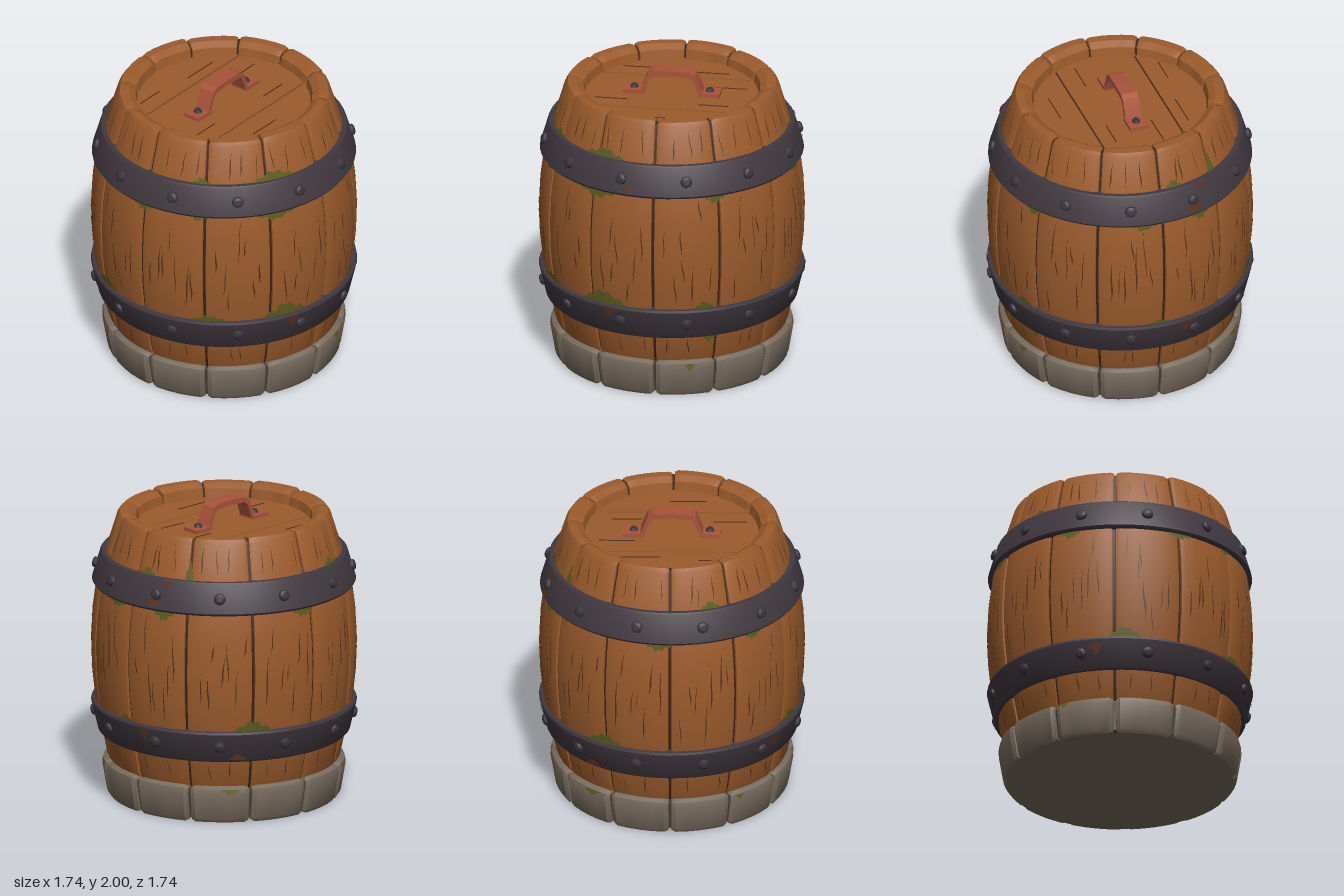
import * as THREE from 'three';
import { toCreasedNormals, mergeGeometries } from 'three/addons/utils/BufferGeometryUtils.js';

const STAVES = 12;
const rad = THREE.MathUtils.degToRad;

// Profiles are [radius, height], running up the outside and over the top
const STAVE = [[0.73, 0.2], [0.765, 0.27], [0.797, 0.43], [0.845, 0.65], [0.866, 0.85], [0.872, 1.05], [0.862, 1.25],
  [0.836, 1.45], [0.775, 1.65], [0.703, 1.89], [0.683, 1.918], [0.625, 1.918], [0.58, 1.89], [0.562, 1.8]];
const STONE = [[0.6, 0], [0.75, 0], [0.768, 0.025], [0.798, 0.2], [0.79, 0.235], [0.765, 0.25], [0.65, 0.25]];
const HOOPS = [
  [[0.77, 0.44], [0.815, 0.432], [0.828, 0.445], [0.872, 0.63], [0.866, 0.645], [0.81, 0.65]],
  [[0.81, 1.44], [0.855, 1.44], [0.866, 1.455], [0.812, 1.64], [0.803, 1.652], [0.74, 1.652]],
];

function seeded(seed) {
  return () => (seed = (seed * 16807) % 2147483647) / 2147483647;
}

function indexed(positions, index) {
  const g = new THREE.BufferGeometry();
  g.setAttribute('position', new THREE.Float32BufferAttribute(positions, 3));
  g.setIndex(index);
  return g;
}

// Move a profile inwards along its own normals
function inset(profile, d) {
  return profile.map(([r, y], i) => {
    const a = profile[Math.max(i - 1, 0)], b = profile[Math.min(i + 1, profile.length - 1)];
    const dr = b[0] - a[0], dy = b[1] - a[1], l = Math.hypot(dr, dy);
    return [r - d * dy / l, y + d * dr / l];
  });
}

function radiusAt(profile, y) {
  for (let i = 0; i < profile.length - 1; i++) {
    const [r0, y0] = profile[i], [r1, y1] = profile[i + 1];
    if (y >= y0 && y <= y1 && y1 > y0) return r0 + (r1 - r0) * (y - y0) / (y1 - y0);
  }
  return profile[2][0];
}

// One stave or stone: the profile swept over its share of the circle, sinking at both edges
function wedge(profile, angle, bevel, lift) {
  const half = Math.PI / STAVES;
  const cols = [[-0.975, 0.04], [-0.95, bevel], [-0.82, 0], [-0.4, 0], [0, 0], [0.4, 0], [0.82, 0], [0.95, bevel], [0.975, 0.04]];
  const pos = [], idx = [], n = profile.length;
  cols.forEach(([u, d], c) => {
    inset(profile, d).forEach(([r, y], i) => {
      const t = angle + u * half, top = y > 1.85 ? lift : 0;
      pos.push(r * Math.sin(t), y + top, r * Math.cos(t));
      if (c && i) {
        const a = (c - 1) * n + i - 1, b = c * n + i - 1;
        idx.push(a, b, b + 1, a, b + 1, a + 1);
      }
    });
  });
  return toCreasedNormals(indexed(pos, idx), 0.5);
}

const lathe = (profile, seg = 48) =>
  toCreasedNormals(new THREE.LatheGeometry(profile.map(p => new THREE.Vector2(...p)), seg), 0.6);

// Thin ribbon laid on a turned surface, from pairs of [angle, height] points
function ribbon(profile, pairs, offset = 0.005) {
  const pos = [], idx = [];
  pairs.forEach((pair, i) => {
    for (const [t, y] of pair) {
      const r = radiusAt(profile, y) + offset;
      pos.push(r * Math.sin(t), y, r * Math.cos(t));
    }
    if (i) idx.push(2 * i - 2, 2 * i, 2 * i + 1, 2 * i - 2, 2 * i + 1, 2 * i - 1);
  });
  const g = indexed(pos, idx);
  g.computeVertexNormals();
  return g;
}

export function createModel() {
  const group = new THREE.Group();
  const mat = (name, color, side = THREE.FrontSide) => {
    const m = new THREE.MeshStandardMaterial({ color, side });
    m.name = name;
    return m;
  };
  const wood = mat('wood', 0x9b5b2c), gap = mat('dark gap', 0x3a2114), iron = mat('iron', 0x40383f);
  const rivetIron = mat('rivet iron', 0x38343b), stone = mat('stone', 0x786b5e), mortar = mat('stone gap', 0x3e362f);
  const copper = mat('handle copper', 0xa8533a), moss = mat('moss', 0x5c5c1f, THREE.DoubleSide);
  const rust = mat('rust', 0x61321f, THREE.DoubleSide), crack = mat('wood crack', 0x54301a, THREE.DoubleSide);
  const add = (name, geo, material, x = 0, y = 0, z = 0) => {
    const m = new THREE.Mesh(geo, material);
    m.name = name;
    m.position.set(x, y, z);
    group.add(m);
    return m;
  };
  const rnd = seeded(77);

  // Staves and base stones around their dark cores
  for (let i = 0; i < STAVES; i++) {
    const a = (i + 0.5) * 2 * Math.PI / STAVES;
    add('stave', wedge(STAVE, a, 0.008, (rnd() - 0.5) * 0.012), wood);
    add('baseStone', wedge(STONE, a, 0.014, 0), stone);
  }
  add('staveCore', lathe(inset(STAVE, 0.022)), gap);
  add('stoneCore', lathe(inset(STONE, 0.025)), mortar);
  add('baseUnderside', new THREE.CircleGeometry(0.745, 48).rotateX(Math.PI / 2), stone, 0, 0.002);

  // Lid boards cut from a circle
  const R = 0.585, lidY = 1.83;
  for (const [z0, z1] of [[-R, -0.286], [-0.274, 0.264], [0.276, R]]) {
    const right = [], left = [];
    for (let i = 0; i <= 14; i++) {
      const z = z0 + (z1 - z0) * i / 14, x = Math.sqrt(Math.max(R * R - z * z, 0));
      right.push(new THREE.Vector2(x, z));
      left.unshift(new THREE.Vector2(-x, z));
    }
    const board = new THREE.ExtrudeGeometry(new THREE.Shape([...right, ...left]), { depth: 0.04, bevelEnabled: false });
    add('lidBoard', board.rotateX(Math.PI / 2), wood, 0, lidY);
  }
  add('lidCore', new THREE.CylinderGeometry(0.59, 0.59, 0.02, 48), gap, 0, lidY - 0.02);
  for (const [x, z, l] of [[-0.28, -0.4, 0.2], [0.2, -0.36, 0.26], [0.36, -0.13, 0.24], [-0.38, 0.14, 0.22], [0.3, 0.17, 0.2], [-0.1, 0.42, 0.24]])
    add('lidCrack', new THREE.BoxGeometry(l, 0.004, 0.006), crack, x, lidY + 0.002, z);

  // Hoops with a ring of rivets
  for (const hoop of HOOPS) {
    add('hoop', lathe(hoop, 60), iron);
    const [[rA, yA], [rB, yB]] = [hoop[2], hoop[3]];
    const tilt = Math.atan2(rB - rA, yB - yA);
    for (let i = 0; i < STAVES; i++) {
      const pivot = new THREE.Group();
      pivot.name = 'rivet';
      pivot.rotation.y = (i + 0.5) * 2 * Math.PI / STAVES;
      const head = mergeGeometries([
        new THREE.CylinderGeometry(0.035, 0.04, 0.02, 10),
        new THREE.CylinderGeometry(0.018, 0.035, 0.009, 10).translate(0, 0.0145, 0)]);
      const m = new THREE.Mesh(head, rivetIron);
      m.rotation.x = Math.PI / 2 + tilt;
      m.position.set(0, (yA + yB) / 2 + 0.005, (rA + rB) / 2 + 0.005);
      pivot.add(m);
      group.add(pivot);
    }
  }

  // Handle: arch, two feet and their bolts
  const arch = new THREE.Shape([[-0.21, 1.84], [-0.178, 1.925], [-0.155, 1.975], [-0.12, 1.995], [0, 2], [0.12, 1.995], [0.155, 1.975],
    [0.178, 1.925], [0.21, 1.84], [0.18, 1.84], [0.15, 1.925], [0.125, 1.957], [0, 1.965], [-0.125, 1.957], [-0.15, 1.925], [-0.18, 1.84]]
    .map(p => new THREE.Vector2(...p)));
  add('handleArch', new THREE.ExtrudeGeometry(arch, { depth: 0.11, bevelEnabled: false }), copper, 0, 0, -0.073);
  for (const s of [-1, 1]) {
    add('handleFoot', new THREE.BoxGeometry(0.14, 0.024, 0.125), copper, s * 0.25, lidY + 0.012, -0.02);
    add('handleBolt', new THREE.CylinderGeometry(0.02, 0.03, 0.022, 8), rivetIron, s * 0.25, lidY + 0.033, -0.02);
  }

  // Grain cracks: tapering, slightly wandering slivers
  const cracks = [];
  for (let i = 0; i < STAVES; i++) {
    for (const [lo, hi, count] of [[0.29, 0.43, 2], [0.67, 1.42, 7], [1.67, 1.88, 3]]) {
      for (let k = 0; k < count; k++) {
        const len = Math.min((hi - lo) * 0.85, 0.12 + rnd() * 0.25), y = lo + rnd() * (hi - lo - len);
        const t = (i + 0.14 + 0.72 * (k + rnd()) / count) * 2 * Math.PI / STAVES, lean = (rnd() - 0.5) * 0.06;
        const w = 0.003 + rnd() * 0.004;
        cracks.push(ribbon(STAVE, [0, 0.3, 0.6, 1].map((f, j) => {
          const c = t + lean * f + (j % 2) * 0.006, h = w * [0.1, 1, 0.8, 0.1][j], yy = y + len * f;
          return [[c + h, yy], [c - h, yy]];
        }), 0.003));
      }
    }
  }
  add('grainCracks', mergeGeometries(cracks), crack);

  // Jagged patch growing up or down from a height: [angle, height, width in degrees, growth]
  const patch = (profile, [deg, y, width, grow]) => {
    const shape = [0.15, 0.5, 0.4, 1, 0.75, 0.9, 0.4, 0.5, 0.1];
    return ribbon(profile, shape.map((s, i) => {
      const t = rad(deg + width * (i / 8 - 0.5)), end = y + grow * s;
      return [[t, Math.min(y, end)], [t, Math.max(y, end)]];
    }));
  };
  const mossSpots = [[-26, 1.645, 22, 0.07], [-62, 1.645, 10, 0.05], [-27, 1.445, 20, -0.06], [28, 1.445, 10, -0.06], [-63, 1.445, 8, -0.04],
    [-23, 0.645, 20, 0.1], [-58, 0.645, 16, 0.05], [23, 0.645, 9, 0.06], [26, 0.44, 5, -0.07], [97, 1.645, 9, 0.06], [120, 1.645, 4, 0.15],
    [81, 1.445, 14, -0.05], [109, 1.445, 10, -0.07], [88, 0.645, 8, 0.04], [150, 0.645, 16, 0.08], [175, 1.445, 12, -0.06],
    [220, 1.445, 10, -0.06], [245, 0.645, 14, 0.08], [270, 1.445, 12, -0.05], [200, 1.645, 10, 0.06]];
  add('mossOnStaves', mergeGeometries(mossSpots.map(s => patch(STAVE, s))), moss);
  add('mossOnStones', mergeGeometries([[17, 0.234, 5, -0.05], [140, 0.234, 9, -0.04], [215, 0.234, 4, -0.04]].map(s => patch(STONE, s))), moss);

  // Rust stains on the hoops
  add('rustOnLowerHoop', mergeGeometries([[-20, 0.625, 5, -0.07], [100, 0.625, 5, -0.08], [143, 0.45, 8, 0.05], [232, 0.6, 6, -0.08]]
    .map(s => patch(HOOPS[0], s))), rust);
  add('rustOnUpperHoop', mergeGeometries([[-11, 1.5, 4, -0.03], [110, 1.635, 5, -0.03], [105, 1.51, 8, -0.04]]
    .map(s => patch(HOOPS[1], s))), rust);

  return group;
}
